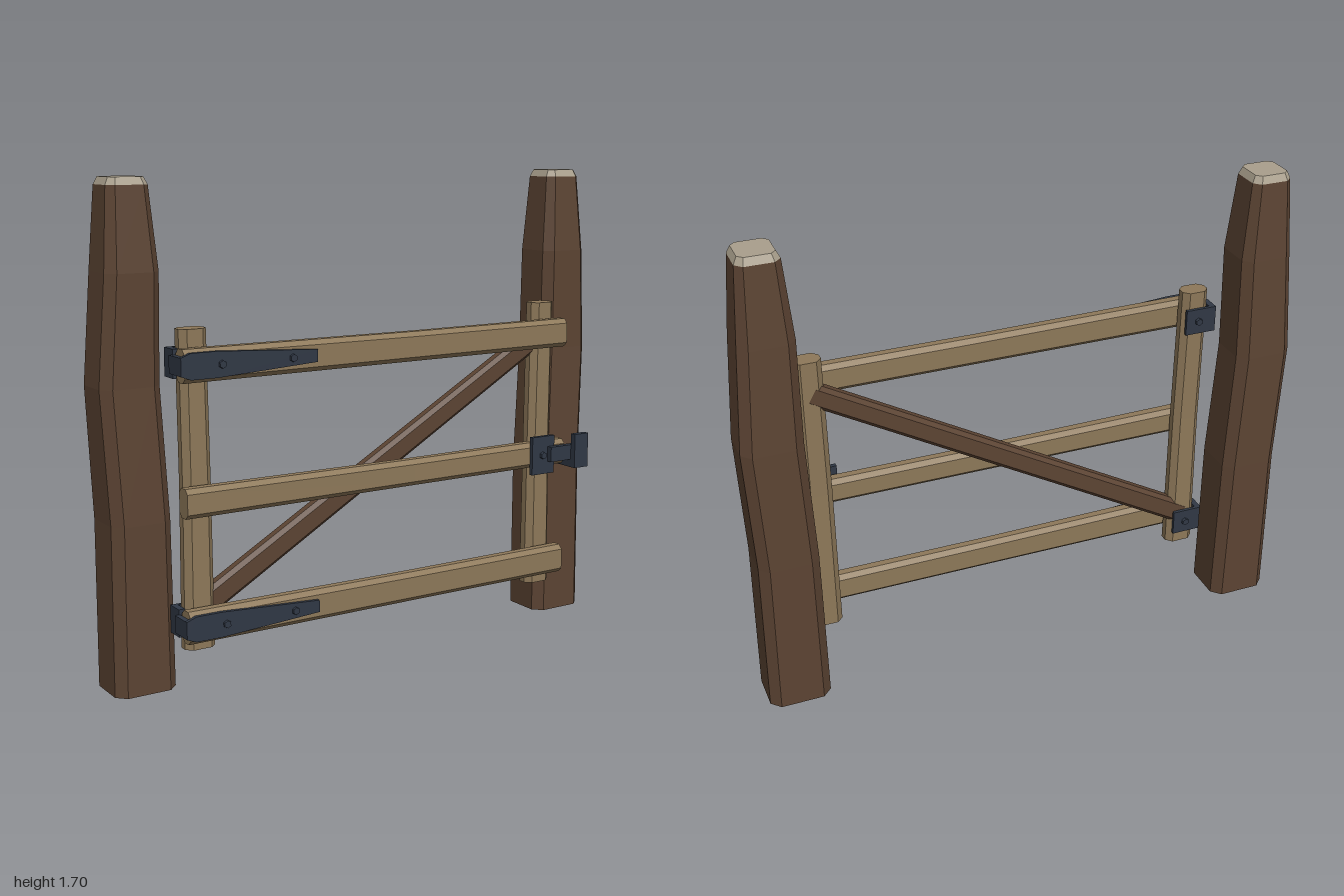
import * as THREE from 'three';

const mat = (name, color) => {
  const m = new THREE.MeshStandardMaterial({ color });
  m.name = name;
  return m;
};

// Solid with a chamfered rectangular cross-section; each section is [y, x0, x1, z0, z1, chamfer]
function loft(sections) {
  const rings = sections.map(([y, x0, x1, z0, z1, c]) => [
    [x1, z0 + c], [x1, z1 - c], [x1 - c, z1], [x0 + c, z1],
    [x0, z1 - c], [x0, z0 + c], [x0 + c, z0], [x1 - c, z0],
  ].map(([x, z]) => [x, y, z]));
  const pos = [];
  const tri = (a, b, c) => pos.push(...a, ...b, ...c);
  for (let r = 0; r < rings.length - 1; r++) {
    for (let i = 0; i < 8; i++) {
      const j = (i + 1) % 8;
      const lo = rings[r], hi = rings[r + 1];
      tri(lo[i], hi[i], lo[j]);
      tri(lo[j], hi[i], hi[j]);
    }
  }
  const bottom = rings[0], top = rings[rings.length - 1];
  for (let i = 1; i < 7; i++) {
    tri(bottom[0], bottom[i], bottom[i + 1]);
    tri(top[0], top[i + 1], top[i]);
  }
  const g = new THREE.BufferGeometry();
  g.setAttribute('position', new THREE.Float32BufferAttribute(pos, 3));
  g.computeVertexNormals();
  return g;
}

export function createModel() {
  const model = new THREE.Group();
  model.name = 'fieldGate';
  const bark = mat('darkWood', 0x5c4433);
  const wood = mat('paleWood', 0x8d7859);
  const cut = mat('cutWood', 0xa99f8c);
  const iron = mat('iron', 0x303845);

  const add = (name, geometry, material, parent = model) => {
    const m = new THREE.Mesh(geometry, material);
    m.name = name;
    parent.add(m);
    return m;
  };
  // Box given by its limits
  const box = (name, x0, x1, y0, y1, z0, z1, parent) => {
    const m = add(name, new THREE.BoxGeometry(x1 - x0, y1 - y0, z1 - z0), iron, parent);
    m.position.set((x0 + x1) / 2, (y0 + y1) / 2, (z0 + z1) / 2);
  };
  // Low hexagonal bolt head facing front or back
  const bolt = (x, y, z, parent) => {
    const g = new THREE.CylinderGeometry(0.013, 0.015, 0.014, 6).toNonIndexed();
    g.computeVertexNormals();
    g.rotateX(z < 0.05 ? -Math.PI / 2 : Math.PI / 2);
    add('boltHead', g, iron, parent).position.set(x, y, z);
  };

  // Gnarled posts, mirrored, with pale sawn tops
  const postSections = [
    [0, 0.765, 0.985, -0.19, 0.01, 0.033],
    [0.58, 0.77, 0.98, -0.195, 0.01, 0.033],
    [1.03, 0.79, 1.0, -0.195, -0.003, 0.033],
    [1.4, 0.787, 0.975, -0.182, 0.005, 0.031],
    [1.675, 0.81, 0.955, -0.165, -0.018, 0.024],
  ];
  const capSections = [
    [1.675, 0.81, 0.955, -0.165, -0.018, 0.024],
    [1.7, 0.822, 0.943, -0.153, -0.03, 0.018],
  ];
  const side = (s, list) =>
    list.map(([y, a, b, ...rest]) => (s > 0 ? [y, a, b, ...rest] : [y, -b, -a, ...rest]));
  for (const s of [-1, 1]) {
    const post = new THREE.Group();
    post.name = s < 0 ? 'rightPost' : 'leftPost';
    model.add(post);
    add('postTrunk', loft(side(s, postSections)), bark, post);
    add('postTop', loft(side(s, capSections)), cut, post);

    // Upright of the gate frame
    add('gateUpright', loft(side(s, [
      [0.15, 0.657, 0.767, 0.012, 0.084, 0.022],
      [0.7, 0.66, 0.762, 0.014, 0.082, 0.021],
      [1.22, 0.667, 0.765, 0.012, 0.082, 0.021],
    ])), wood);
  }

  // Horizontal rails
  for (const [y, h] of [[1.108, 0.055], [0.66, 0.05], [0.243, 0.056]]) {
    const rail = loft([
      [-0.782, -h, h, 0.076, 0.138, 0.016],
      [0.1, -h + 0.004, h - 0.002, 0.078, 0.136, 0.016],
      [0.776, -h + 0.002, h - 0.004, 0.077, 0.138, 0.016],
    ]);
    rail.rotateZ(-Math.PI / 2);
    add('gateRail', rail, wood).position.y = y;
  }

  // Diagonal brace
  const dx = 1.42, dy = 0.82, half = Math.hypot(dx, dy) / 2;
  const brace = add('diagonalBrace', loft([
    [-half, -0.044, 0.044, 0.012, 0.068, 0.014],
    [half, -0.04, 0.04, 0.012, 0.068, 0.014],
  ]), bark);
  brace.position.set(0, 0.685, 0);
  brace.rotation.z = Math.atan2(dy, dx) - Math.PI / 2;

  // Tapered hinge straps wrapping around the upright
  const outline = [
    [-0.8, -0.03], [-0.765, -0.043], [-0.67, -0.043], [-0.3, -0.021],
    [-0.3, 0.021], [-0.67, 0.043], [-0.765, 0.043], [-0.8, 0.03],
  ].map(([x, y]) => new THREE.Vector2(x, y));
  for (const y of [1.11, 0.245]) {
    const hinge = new THREE.Group();
    hinge.name = 'hinge';
    hinge.position.y = y;
    model.add(hinge);
    const strap = new THREE.ExtrudeGeometry(new THREE.Shape(outline), { depth: 0.014, bevelEnabled: false });
    add('hingeStrap', strap, iron, hinge).position.z = 0.136;
    box('hingeWrap', -0.8, -0.782, -0.03, 0.03, 0.06, 0.137, hinge);
    box('hingeSide', -0.788, -0.766, -0.048, 0.048, 0.002, 0.065, hinge);
    box('hingeBackPlate', -0.788, -0.672, -0.048, 0.048, 0, 0.012, hinge);
    bolt(-0.655, 0, 0.151, hinge);
    bolt(-0.395, 0, 0.151, hinge);
    bolt(-0.72, 0, -0.003, hinge);
  }

  // Latch plate and sliding bar on the gate, catch on the post
  const latch = new THREE.Group();
  latch.name = 'latch';
  model.add(latch);
  box('latchPlate', 0.614, 0.716, 0.59, 0.732, 0.135, 0.152, latch);
  box('latchBar', 0.685, 0.83, 0.636, 0.692, 0.15, 0.173, latch);
  bolt(0.662, 0.661, 0.155, latch);
  box('catchArm', 0.777, 0.84, 0.607, 0.637, -0.01, 0.198, latch);
  box('catchLip', 0.777, 0.84, 0.607, 0.735, 0.175, 0.198, latch);

  return model;
}
